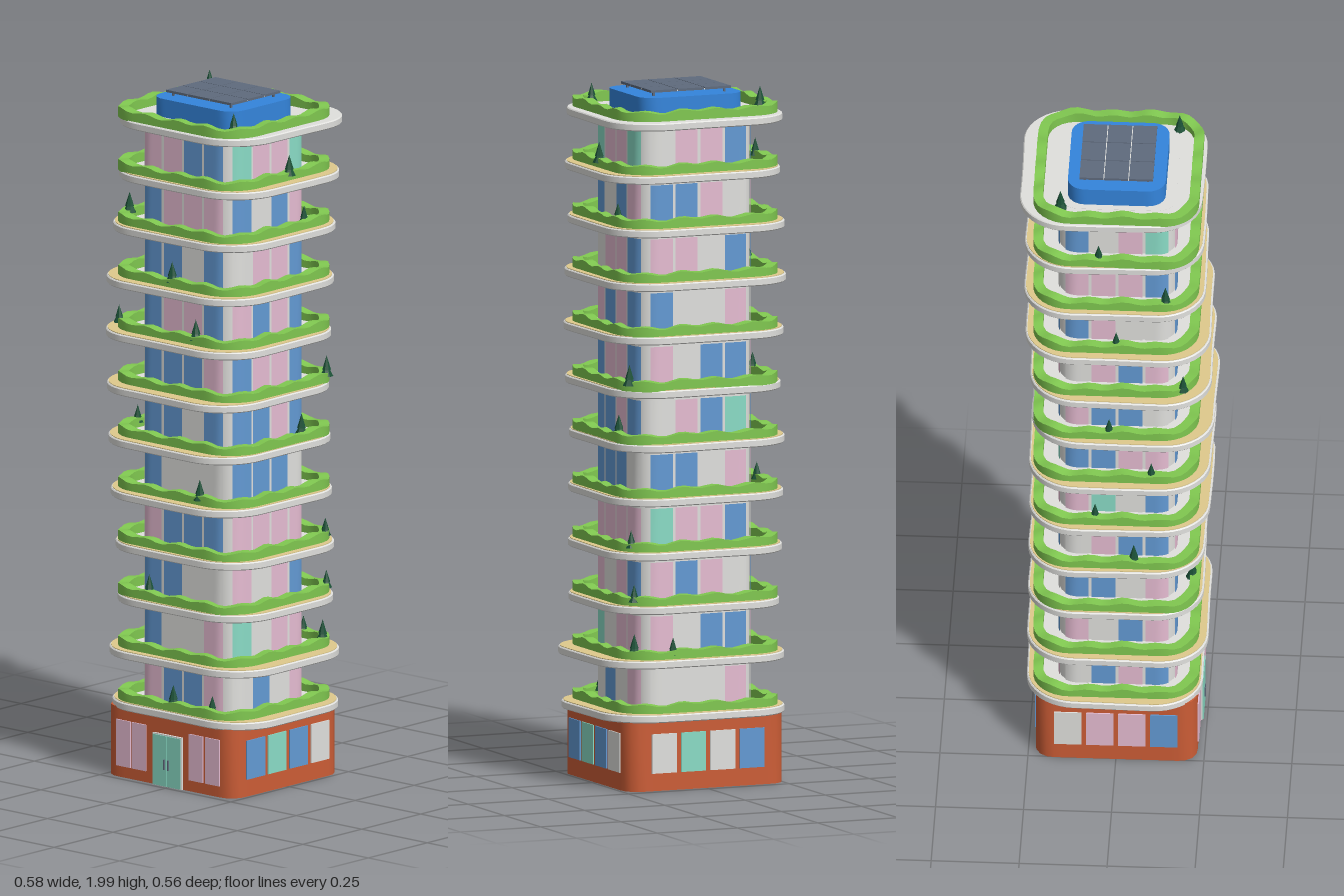
import * as THREE from 'three';
import { toCreasedNormals } from 'three/addons/utils/BufferGeometryUtils.js';

const mat = (name, color) => {
  const m = new THREE.MeshStandardMaterial({ color });
  m.name = name;
  return m;
};

// Point on one side of a rounded rectangle, t measured along the wall from its middle
function facePoint(t, half, depth, r) {
  const flat = half - r, over = Math.abs(t) - flat;
  if (over <= 0) return [t, depth];
  const a = over / r;
  return [Math.sign(t) * (flat + r * Math.sin(a)), depth - r + r * Math.cos(a)];
}

// Closed plan outline of a rounded rectangle with optional gentle wobble
function outline(hx, hz, r, { wobble = 0, phase = 0, cx = 0, cz = 0, n = 20 } = {}) {
  const pts = [];
  for (let k = 0; k < 4; k++) {
    const [half, depth] = k % 2 ? [hz, hx] : [hx, hz];
    const L = half - r + Math.PI * r / 4;
    for (let j = 0; j < n; j++) {
      const [u, v] = facePoint(-L + 2 * L * j / n, half, depth, r);
      const c = Math.round(Math.cos(k * Math.PI / 2)), s = Math.round(Math.sin(k * Math.PI / 2));
      const x = u * c + v * s, z = -u * s + v * c;
      const g = 1 + wobble * Math.sin(3 * Math.atan2(z, x) + phase);
      pts.push(new THREE.Vector2(cx + x * g, -(cz + z * g)));
    }
  }
  return pts;
}

// Extrudes a plan outline upward from y = 0
function raise(pts, depth, hole, bevel = 0) {
  const shape = new THREE.Shape(pts);
  if (hole) shape.holes.push(new THREE.Path(hole));
  const g = new THREE.ExtrudeGeometry(shape, {
    depth: depth - 2 * bevel, bevelEnabled: bevel > 0, bevelSize: bevel,
    bevelThickness: bevel, bevelOffset: -bevel, bevelSegments: 1,
  });
  g.rotateX(-Math.PI / 2);
  g.translate(0, bevel, 0);
  return toCreasedNormals(g, 0.6);
}

// Ring of hedge with a softly waving top, swept around the balcony
function hedgeRing() {
  const outer = outline(0.25, 0.236, 0.105), inner = outline(0.222, 0.208, 0.08);
  const n = outer.length, pos = [], idx = [];
  const top = j => 0.028 + 0.004 * Math.sin(j / n * Math.PI * 32) + 0.002 * Math.sin(j / n * Math.PI * 14);
  [[outer, false], [outer, true], [inner, true], [inner, false]].forEach(([ring, high]) =>
    ring.forEach((p, j) => pos.push(p.x, high ? top(j) : 0, -p.y)));
  for (let row = 0; row < 3; row++) {
    for (let j = 0; j < n; j++) {
      const a = row * n + j, b = row * n + (j + 1) % n;
      idx.push(a, b, a + n, b, b + n, a + n);
    }
  }
  const g = new THREE.BufferGeometry();
  g.setAttribute('position', new THREE.Float32BufferAttribute(pos, 3));
  g.setIndex(idx);
  return toCreasedNormals(g, 0.7);
}

export function createModel() {
  const brick = mat('brick', 0xcc5d36), grey = mat('concrete', 0xe0e0dd);
  const pink = mat('pinkGlass', 0xe6bcd2), blue = mat('blueGlass', 0x639ad4);
  const teal = mat('tealGlass', 0x8adcc6), green = mat('hedgeGreen', 0x80c850);
  const pine = mat('pineGreen', 0x1a5036), tan = mat('deckTan', 0xdfca8c);
  const roofBlue = mat('roofBlue', 0x3485dc), solar = mat('solarSlate', 0x5f6b7d);
  const glass = { p: pink, b: blue, t: teal, g: grey };

  const model = new THREE.Group();
  const add = (name, geo, material, x = 0, y = 0, z = 0, parent = model) => {
    const m = new THREE.Mesh(geo, material);
    m.name = name;
    m.position.set(x, y, z);
    parent.add(m);
    return m;
  };
  const box = (w, h, d) => new THREE.BoxGeometry(w, h, d);
  const CX = -0.006, STEP = 0.1545, SLAB_Y = 0.198, SLAB_H = 0.022;

  // Brick ground floor with windows and a double door
  const base = new THREE.Group();
  base.name = 'groundFloor';
  base.position.x = CX;
  model.add(base);
  const BX = 0.247, BZ = 0.23;
  add('brickWalls', raise(outline(BX, BZ, 0.05), 0.204), brick, 0, 0, 0, base);
  ['', 'btbg', 'gtgb', 'gppb'].forEach((row, k) => {
    const side = new THREE.Group();
    side.name = 'groundSide';
    side.rotation.y = k * Math.PI / 2;
    base.add(side);
    const depth = k % 2 ? BX : BZ;
    if (k === 0) {
      [-0.17, -0.11, 0.107, 0.17].forEach(x =>
        add('groundWindow', box(0.054, 0.135, 0.008), pink, x, 0.1, depth, side));
      add('doorFrame', box(0.11, 0.152, 0.014), grey, 0.001, 0.076, depth, side);
      for (const s of [-1, 1]) {
        add('doorLeaf', box(0.051, 0.147, 0.008), teal, 0.001 + s * 0.0265, 0.075, depth + 0.006, side);
        add('doorHandle', box(0.004, 0.03, 0.006), solar, 0.001 + s * 0.008, 0.065, depth + 0.011, side);
      }
    }
    [...row].forEach((c, j) =>
      add('groundWindow', box(0.077, 0.113, 0.008), glass[c], (j - 1.5) * 0.091, 0.107, depth, side));
  });

  // Tower core
  const TX = 0.179, TZ = 0.166, TR = 0.055;
  add('towerCore', raise(outline(TX, TZ, TR), 1.72), grey, CX, 0.2, 0);

  // Glazing panels bent around the rounded core, one letter per panel
  const front = ['pbbp', 'bggp', 'bbgg', 'pbbb', 'bggg', 'bbgb', 'bbbp', 'bppb', 'bbgb', 'bppp', 'ppbb'];
  const right = ['gbgp', 'tgpp', 'pgpb', 'pppp', 'bbbg', 'bbpb', 'bppb', 'pbpb', 'gppb', 'bgbp', 'tppt'];
  const back = ['gggp', 'pgbb', 'pbpg', 'tppb', 'bbgp', 'gpbt', 'pgbb', 'bggp', 'ppgb', 'bbpg', 'gppb'];
  const left = ['gbpb', 'pgbp', 'bbgp', 'gpbb', 'ptgb', 'bbpp', 'pbbg', 'gpbp', 'bpgg', 'pppb', 'bgpt'];
  const PITCH = 0.0765;
  [front, right, back, left].forEach((rows, k) => {
    const side = new THREE.Group();
    side.name = 'glazingSide';
    side.position.x = CX;
    side.rotation.y = k * Math.PI / 2;
    model.add(side);
    const [half, depth] = k % 2 ? [TZ, TX] : [TX, TZ];
    const panels = [0, 1, 2, 3].map(j => {
      const g = new THREE.PlaneGeometry(PITCH - 0.008, 0.116, 8, 1);
      const p = g.attributes.position;
      for (let v = 0; v < p.count; v++) {
        const [x, z] = facePoint(p.getX(v) + (j - 1.5) * PITCH, half + 0.003, depth + 0.003, TR + 0.003);
        p.setX(v, x);
        p.setZ(v, z);
      }
      g.computeVertexNormals();
      return g;
    });
    rows.forEach((row, i) => [...row].forEach((c, j) =>
      add('windowPanel', panels[j], glass[c], 0, 0.278 + i * STEP, 0, side)));
  });

  // Balcony slabs: centre x, half width, centre z, half depth
  const slabs = [
    [0, 0.284, -0.008, 0.25], [0.003, 0.286, 0, 0.256], [0, 0.266, -0.006, 0.248],
    [-0.003, 0.27, -0.004, 0.25], [-0.01, 0.268, 0.005, 0.258], [-0.016, 0.268, 0.006, 0.26],
    [-0.01, 0.268, 0.016, 0.26], [-0.01, 0.276, 0.01, 0.258], [-0.01, 0.276, 0.002, 0.262],
    [-0.006, 0.272, -0.008, 0.256], [0.008, 0.27, -0.01, 0.254], [0.005, 0.268, -0.02, 0.26],
  ];
  const hedgeGeo = hedgeRing();
  slabs.forEach(([cx, hx, cz, hz], i) => {
    const y = SLAB_Y + i * STEP;
    const o = { cx, cz, wobble: 0.008, phase: i * 0.9 };
    add('balconySlab', raise(outline(hx, hz, 0.14, o), SLAB_H, null, 0.003), grey, 0, y, 0);
    if (i < 11) {
      const inner = outline(0.232, 0.218, 0.095, { cx: CX });
      add('deckEdge', raise(outline(hx - 0.005, hz - 0.005, 0.135, o), 0.003, inner), tan, 0, y + SLAB_H - 0.001, 0);
    }
    add('hedge', hedgeGeo, green, CX, y + SLAB_H - 0.002, -0.004);
  });

  // Small pines growing out of the hedges: floor, x, z
  const trees = [
    [0, -0.005, 0.21], [0, 0.135, 0.2], [1, 0.205, -0.19], [1, 0.1, -0.225], [2, -0.097, 0.21], [2, 0.21, -0.2],
    [3, -0.235, 0.05], [3, 0.215, -0.19], [4, 0.105, 0.22], [4, -0.235, -0.06], [5, 0.21, -0.095], [5, -0.24, 0.1],
    [6, 0.22, -0.19], [6, -0.24, -0.02], [7, 0.085, 0.215], [7, -0.23, 0.19], [8, -0.005, 0.215], [8, -0.235, 0],
    [9, -0.235, 0.14], [9, 0.215, -0.1], [10, 0.235, -0.015], [10, -0.235, -0.05], [11, -0.2, -0.16], [11, 0.18, 0.16],
  ];
  const tiers = [[0.018, 0.034, 0.03], [0.012, 0.038, 0.049]].map(([r, h, y]) => {
    const g = new THREE.ConeGeometry(r, h, 7).toNonIndexed();
    g.computeVertexNormals();
    g.translate(0, y, 0);
    return g;
  });
  const trunk = new THREE.CylinderGeometry(0.004, 0.004, 0.025, 6);
  trees.forEach(([i, x, z], n) => {
    const tree = new THREE.Group();
    tree.name = 'pine';
    tree.position.set(x, SLAB_Y + i * STEP + SLAB_H, z);
    tree.scale.setScalar(n % 2 ? 0.92 : 1.08);
    tree.rotation.y = n;
    model.add(tree);
    tiers.forEach(g => add('pineTier', g, pine, 0, 0, 0, tree));
    add('pineTrunk', trunk, pine, 0, 0.012, 0, tree);
  });

  // Roof block and raised solar array
  const roofY = SLAB_Y + 11 * STEP + SLAB_H;
  add('roofBlock', raise(outline(0.159, 0.139, 0.05), 1.973 - roofY), roofBlue, CX, roofY, -0.004);
  const array = new THREE.Group();
  array.name = 'solarArray';
  array.position.set(-0.008, 1.987, -0.005);
  model.add(array);
  add('arrayFrame', box(0.248, 0.004, 0.208), grey, 0, -0.001, 0, array);
  for (let a = -1; a <= 1; a++)
    for (let b = -1; b <= 1; b++)
      add('solarPanel', box(0.081, 0.007, 0.068), solar, a * 0.0838, 0, b * 0.0705, array);
  for (const sx of [-1, 1])
    for (const sz of [-1, 1])
      add('arrayLeg', box(0.006, 0.018, 0.006), solar, sx * 0.11, -0.01, sz * 0.09, array);

  return model;
}
